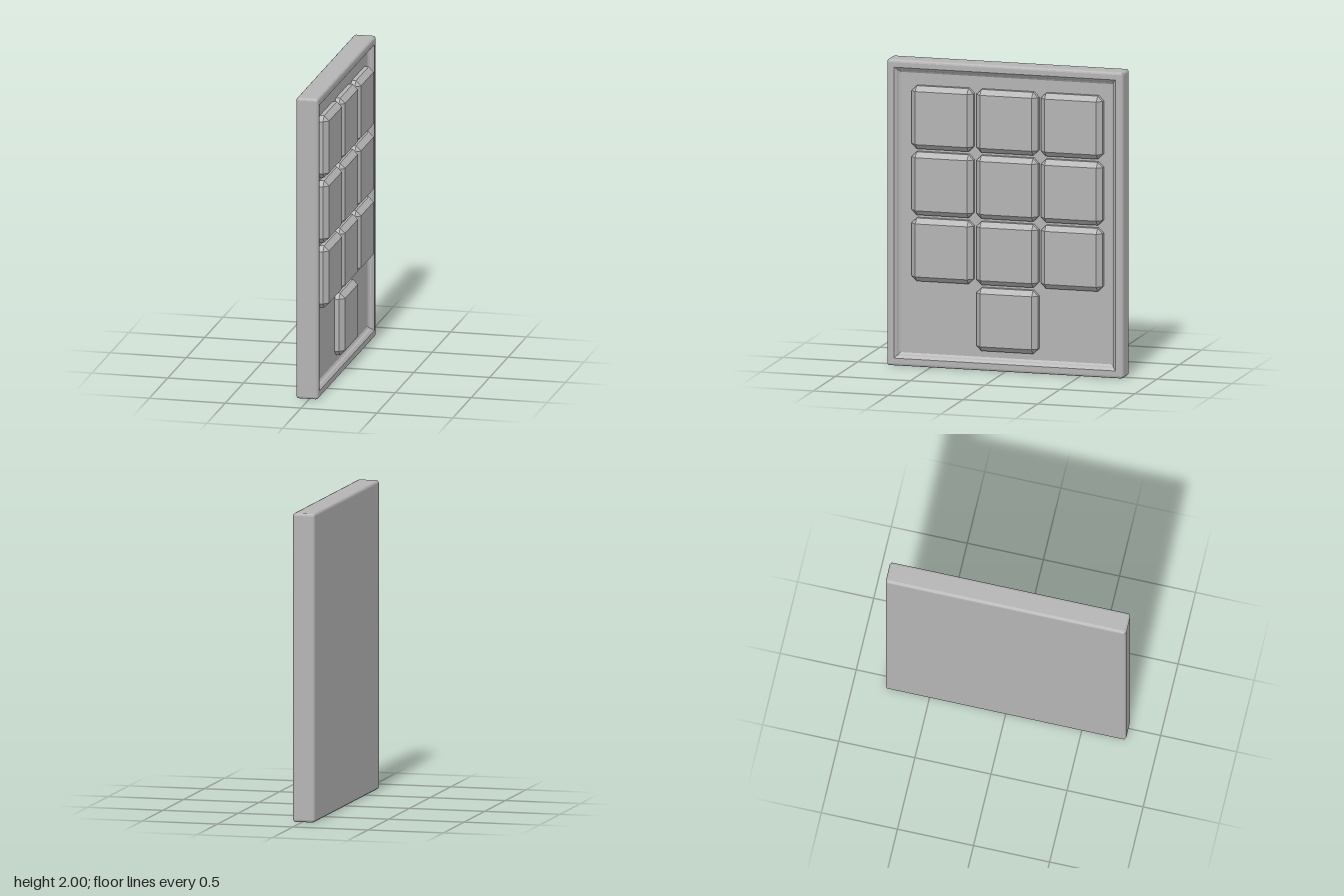
import * as THREE from 'three';

const grey = new THREE.MeshStandardMaterial({ color: 0xb4b4b4, flatShading: true });
grey.name = 'plain grey';

// Rectangle outline with cut or rounded corners, counterclockwise seen from +x
function ring(x, halfW, halfH, radius, segments) {
  const points = [];
  [[1, 1], [-1, 1], [-1, -1], [1, -1]].forEach(([su, sv], corner) => {
    for (let i = 0; i <= segments; i++) {
      const a = (corner + i / segments) * Math.PI / 2;
      const u = su * (halfW - radius) + radius * Math.cos(a);
      const v = sv * (halfH - radius) + radius * Math.sin(a);
      points.push([x, v, -u]);
    }
  });
  return points;
}

// Joins outlines along a profile of [x, inset] steps and caps both ends
function loft(profile, width, height, radius, segments) {
  const rings = profile.map(([x, inset]) =>
    ring(x, width / 2 - inset, height / 2 - inset, Math.max(radius - inset, 0.0005), segments));
  const n = rings[0].length;
  const index = [];
  for (let r = 0; r < rings.length - 1; r++) {
    for (let i = 0; i < n; i++) {
      const j = (i + 1) % n;
      const a = r * n + i, b = r * n + j, c = a + n, d = b + n;
      index.push(a, b, d, a, d, c);
    }
  }
  const last = (rings.length - 1) * n;
  for (let i = 1; i < n - 1; i++) {
    index.push(0, i + 1, i);
    index.push(last, last + i, last + i + 1);
  }
  const indexed = new THREE.BufferGeometry();
  indexed.setAttribute('position', new THREE.Float32BufferAttribute(rings.flat(2), 3));
  indexed.setIndex(index);
  const geometry = indexed.toNonIndexed();
  geometry.computeVertexNormals();
  return geometry;
}

export function createModel() {
  const model = new THREE.Group();
  model.name = 'keypad';

  // Casing: softened outer edges, raised rim and recessed face
  const back = -0.085, front = 0.06, floor = 0.025, bevel = 0.018;
  const profile = [];
  for (let i = 0; i <= 3; i++) {
    const a = i / 3 * Math.PI / 2;
    profile.push([back + bevel * (1 - Math.cos(a)), bevel * (1 - Math.sin(a))]);
  }
  for (let i = 0; i <= 3; i++) {
    const a = i / 3 * Math.PI / 2;
    profile.push([front - bevel * (1 - Math.sin(a)), bevel * (1 - Math.cos(a))]);
  }
  profile.push([front, 0.05], [front - 0.014, 0.067], [floor + 0.008, 0.073], [floor, 0.085]);
  const casing = new THREE.Mesh(loft(profile, 1.58, 2, bevel, 3), grey);
  casing.name = 'casing';
  casing.position.y = 1;
  model.add(casing);

  // Keys: three rows of three and a single one below, with chamfered edges
  const chamfer = 0.033, top = 0.086;
  const keyShape = loft([[floor - 0.005, 0], [top - chamfer, 0], [top, chamfer]],
    0.412, 0.412, chamfer, 1);
  const keys = new THREE.Group();
  keys.name = 'keys';
  for (let row = 0; row < 4; row++) {
    for (let column = 0; column < 3; column++) {
      if (row === 3 && column !== 1) continue;
      const key = new THREE.Mesh(keyShape, grey);
      key.name = 'key';
      key.position.set(0, 1.631 - row * 0.432, 0.418 - column * 0.432);
      keys.add(key);
    }
  }
  model.add(keys);
  return model;
}
